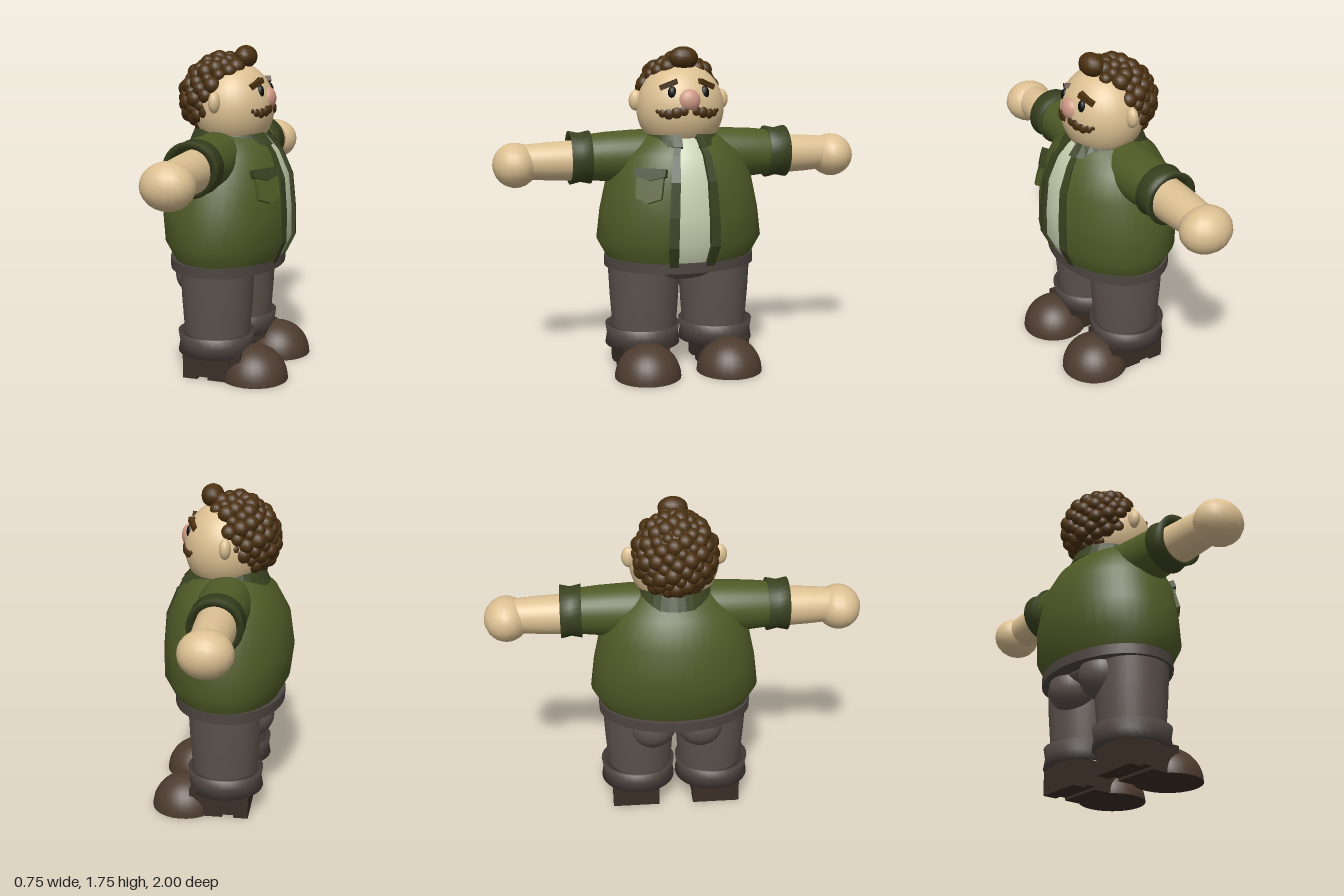
import * as THREE from 'three';

const CX = -0.03; // common axis of torso, arms and legs; the figure looks along +x
const mat = (color, extra = {}) => new THREE.MeshStandardMaterial({ color, ...extra });
const M = {
  jacket: mat(0x4f5a26, { side: THREE.DoubleSide }),
  trim: mat(0x3a4220, { side: THREE.DoubleSide, flatShading: true }),
  cuff: mat(0x3a4220, { side: THREE.DoubleSide }),
  shirt: mat(0xc8d0b0, { side: THREE.DoubleSide }),
  skin: mat(0xdcc092), nose: mat(0xd09a86), eye: mat(0x0c0c0c),
  pants: mat(0x5b524c), band: mat(0x4d4541, { side: THREE.DoubleSide }),
  shoe: mat(0x4d3b2f), sole: mat(0x3a2e26), hair: mat(0x4a3010),
};

// Torso rings: height, back depth, front depth, half width
const RINGS = [
  [0.60, 0.26, 0.29, 0.39], [0.72, 0.325, 0.35, 0.455], [0.88, 0.345, 0.35, 0.435],
  [1.06, 0.32, 0.335, 0.395], [1.19, 0.25, 0.28, 0.33], [1.26, 0.18, 0.225, 0.24],
  [1.30, 0.14, 0.18, 0.18],
];

export function createModel() {
  const root = new THREE.Group();

  function add(name, geometry, material, pos = [0, 0, 0], parent = root) {
    const m = new THREE.Mesh(geometry, material);
    m.name = name;
    m.position.set(...pos);
    parent.add(m);
    return m;
  }
  const ball = (name, material, pos, [rx, ry, rz], seg = 24, parent = root) => {
    const m = add(name, new THREE.SphereGeometry(1, seg, Math.round(seg * 0.67)), material, pos, parent);
    m.scale.set(rx, ry, rz);
    return m;
  };
  const lathe = (pts, seg = 32, start = 0, len = Math.PI * 2) =>
    new THREE.LatheGeometry(pts.map(p => new THREE.Vector2(...p)), seg, start, len);

  // Skin stretched over the torso rings; section = list of [angle from the front, outward offset]
  function torsoLoft(section) {
    const pos = [], idx = [], n = section.length;
    RINGS.forEach(([y, back, front, wide], i) => section.forEach(([a, off], j) => {
      const c = Math.cos(a);
      pos.push(CX + c * ((c > 0 ? front : back) + off), y, Math.sin(a) * (wide + off));
      if (i < RINGS.length - 1 && j < n - 1) {
        const k = i * n + j;
        idx.push(k, k + n, k + 1, k + 1, k + n, k + n + 1);
      }
    }));
    const g = new THREE.BufferGeometry();
    g.setAttribute('position', new THREE.Float32BufferAttribute(pos, 3));
    g.setIndex(idx);
    g.computeVertexNormals();
    return g;
  }
  const arc = (a, b, off, n) => Array.from({ length: n + 1 }, (_, i) => [a + (b - a) * i / n, off]);

  // Jacket, shirt and front trims
  add('jacket', torsoLoft(arc(0.28, Math.PI * 2 - 0.28, 0, 40)), M.jacket);
  add('shirt', torsoLoft(arc(-0.32, 0.32, -0.012, 8)), M.shirt);
  for (const s of [1, -1]) {
    const [a, b] = s > 0 ? [0.19, 0.31] : [-0.31, -0.19];
    add('jacketTrim', torsoLoft([[a, 0.008], [b, 0.008], [b, -0.02], [a, -0.02], [a, 0.008]]), M.trim);
  }

  // Collar, open at the front with the lower edge drawn forward into points
  const collar = lathe([[0.2, 1.22], [0.222, 1.235], [0.19, 1.31], [0.17, 1.31], [0.2, 1.22]], 28,
    Math.PI / 2 + 0.2, Math.PI * 2 - 0.4);
  const cp = collar.attributes.position;
  for (let i = 0; i < cp.count; i++)
    if (cp.getY(i) < 1.25 && cp.getX(i) > 0.12) cp.setX(i, cp.getX(i) + (cp.getX(i) - 0.12) * 0.35);
  add('collar', collar, M.trim, [-0.02, 0, 0]);

  // Chest pocket with flap
  const pocket = new THREE.Group();
  pocket.name = 'pocket';
  const plate = (pts, depth) => new THREE.ExtrudeGeometry(
    new THREE.Shape(pts.map(p => new THREE.Vector2(...p))), { depth, bevelEnabled: false });
  add('pocketBody', plate([[-0.075, 0.07], [-0.07, -0.065], [0, -0.09], [0.07, -0.065], [0.075, 0.07]], 0.025),
    M.jacket, [0, 0, -0.012], pocket);
  add('pocketFlap', plate([[-0.085, 0.09], [-0.085, 0.05], [0, 0.025], [0.085, 0.05], [0.085, 0.09]], 0.035),
    M.trim, [0, 0, -0.012], pocket);
  pocket.position.set(0.25, 1.04, 0.225);
  pocket.lookAt(0.25 + 0.8, 1.04 + 0.28, 0.225 + 0.5);
  root.add(pocket);

  // Waistband and hips
  const waist = add('waistband', new THREE.CylinderGeometry(1, 1, 0.055, 40), M.band, [CX, 0.598, 0]);
  waist.scale.set(0.3, 1, 0.415);
  ball('hips', M.pants, [CX, 0.575, 0], [0.22, 0.09, 0.3]);

  for (const s of [1, -1]) {
    // Arm: built along +y of a group, laid out sideways
    const arm = new THREE.Group();
    arm.name = s > 0 ? 'armPlusZ' : 'armMinusZ';
    arm.position.set(CX, 1.165, 0);
    arm.rotation.x = s * Math.PI / 2;
    root.add(arm);
    add('sleeve', lathe([[0.142, 0.12], [0.14, 0.25], [0.132, 0.4], [0.12, 0.52]]), M.jacket, [0, 0, 0], arm);
    add('sleeveCuff', lathe([[0.105, 0.49], [0.142, 0.49], [0.13, 0.545], [0.142, 0.6], [0.105, 0.59], [0.105, 0.49]]),
      M.cuff, [0, 0, 0], arm);
    const fore = add('forearm', lathe([[0.108, 0.5], [0.105, 0.62], [0.1, 0.72], [0.09, 0.85]]), M.skin, [0, 0, 0], arm);
    fore.position.z = s * 0.015;
    ball('hand', M.skin, [CX, 1.135, s * 0.882], [0.136, 0.118, 0.118], 18);

    // Leg with turned-up cuff
    add('leg', lathe([[0.165, 0.14], [0.176, 0.23], [0.19, 0.42], [0.198, 0.585]]), M.pants, [-0.027, 0, s * 0.198]);
    add('trouserCuff', lathe([[0.16, 0.14], [0.205, 0.13], [0.196, 0.185], [0.205, 0.24], [0.165, 0.23], [0.16, 0.14]]),
      M.band, [CX, 0, s * 0.208]);
    ball('buttock', M.pants, [-0.15, 0.525, s * 0.13], [0.135, 0.13, 0.13]);

    // Shoe: domed toe, flat underside, block and notched heel
    const toe = add('shoeToe', new THREE.SphereGeometry(1, 28, 10, 0, Math.PI * 2, 0, Math.PI / 2), M.shoe, [0.19, 0, s * 0.227]);
    toe.scale.set(0.18, 0.18, 0.178);
    const sole = add('sole', new THREE.CircleGeometry(1, 28), M.sole, [0.19, 0.001, s * 0.227]);
    sole.rotation.x = Math.PI / 2;
    sole.scale.set(0.18, 0.178, 1);
    add('shoeBack', new THREE.BoxGeometry(0.32, 0.14, 0.26), M.sole, [-0.01, 0.085, s * 0.225]);
    add('heel', new THREE.BoxGeometry(0.08, 0.016, 0.26), M.sole, [-0.13, 0.008, s * 0.225]);
    add('midSole', new THREE.BoxGeometry(0.18, 0.016, 0.26), M.sole, [0.06, 0.008, s * 0.225]);

    // Paired face parts
    ball('ear', M.skin, [-0.03, 1.46, s * 0.235], [0.031, 0.055, 0.04], 16);
    ball('eye', M.eye, [0.17, 1.507, s * 0.086], [0.022, 0.038, 0.025], 16);
    const brow = add('eyebrow', new THREE.BoxGeometry(0.035, 0.028, 0.095), M.hair, [0.15, 1.552, s * 0.1]);
    brow.rotation.set(s * 0.38, s * -0.45, 0, 'YXZ');
    [[0.192, 1.418, 0.03, 0.034], [0.186, 1.41, 0.065, 0.036], [0.172, 1.403, 0.1, 0.034],
      [0.158, 1.406, 0.13, 0.028], [0.145, 1.416, 0.15, 0.02]].forEach(([x, y, z, r]) =>
      ball('moustache', M.hair, [x, y, s * z], [r * 0.85, r, r], 14));
  }

  // Head and nose
  ball('head', M.skin, [0, 1.42, 0], [0.215, 0.24, 0.235], 36);
  ball('nose', M.nose, [0.188, 1.47, 0], [0.043, 0.06, 0.06], 20);

  // Curly hair: evenly spread curls on a leaning ellipsoid, kept behind the hairline
  const hair = new THREE.Group();
  hair.name = 'hair';
  root.add(hair);
  ball('hairBase', M.hair, [-0.095, 1.49, 0], [0.17, 0.185, 0.19], 20, hair);
  const curl = new THREE.SphereGeometry(1, 14, 10), N = 150;
  for (let i = 0; i < N; i++) {
    const v = 1 - 2 * (i + 0.5) / N, a = i * 2.39996, h = Math.sqrt(1 - v * v);
    const y = 1.49 + v * 0.185;
    const x = -0.075 + h * Math.cos(a) * 0.185 + (y - 1.49) * 0.16;
    const z = h * Math.sin(a) * 0.19;
    const hairline = y > 1.5 ? -0.06 + (y - 1.5) * 0.85 : -0.06 - (1.5 - y) * 0.2;
    if (x > hairline) continue;
    const r = 0.04 + 0.007 * Math.sin(i * 1.7);
    add('curl', curl, M.hair, [x, y, z], hair).scale.setScalar(r);
  }
  const lock = add('forelock', curl, M.hair, [0.065, 1.685, 0], hair);
  lock.scale.set(0.06, 0.06, 0.08);

  return root;
}
